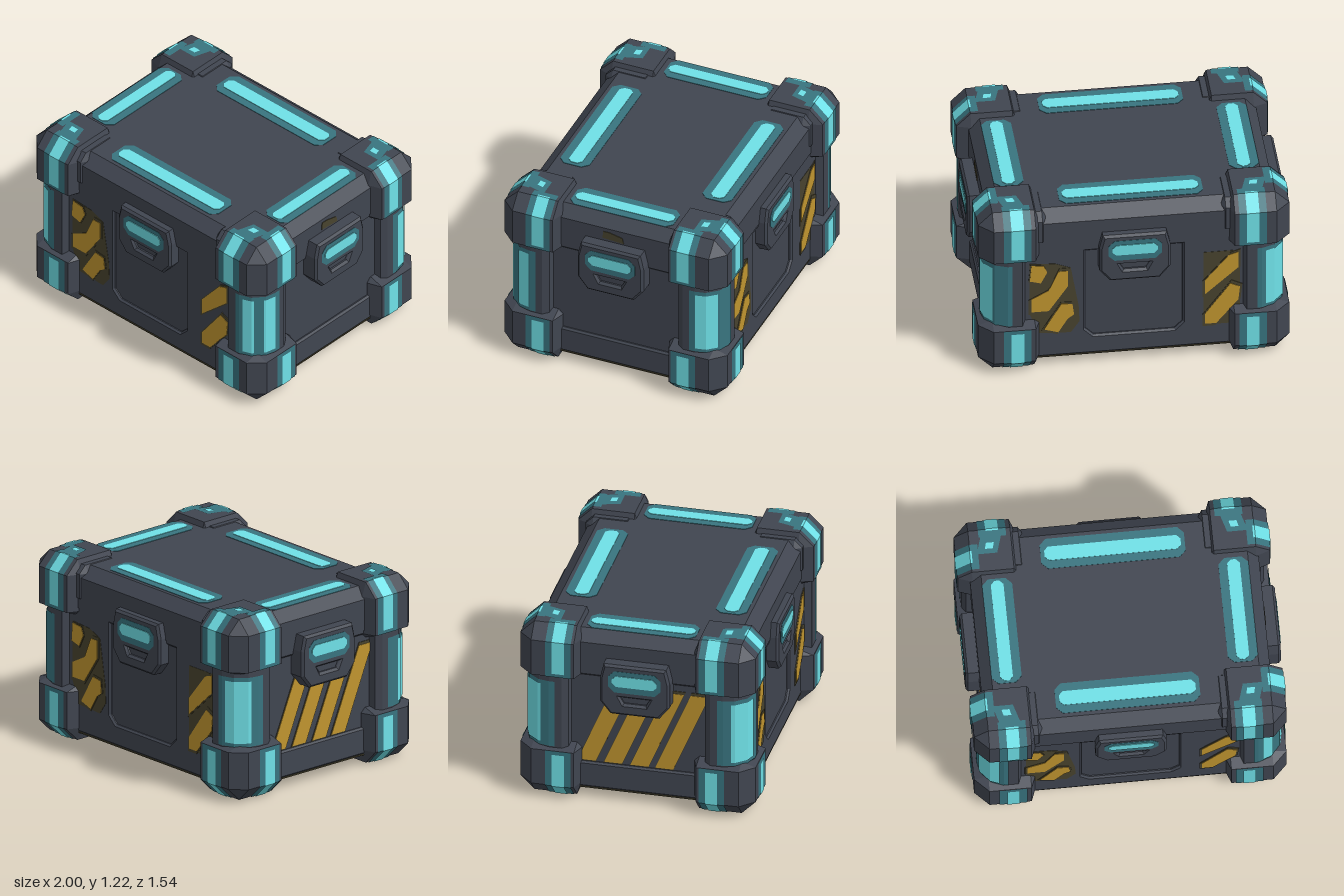
import * as THREE from 'three';
import { ConvexGeometry } from 'three/addons/geometries/ConvexGeometry.js';

const paint = (name, color, side = THREE.FrontSide) => {
  const m = new THREE.MeshStandardMaterial({ color, side });
  m.name = name;
  return m;
};
const MID = 0.6; // mid height of the crate

export function createModel() {
  const slate = paint('slate', 0x404550);
  const glow = paint('bright cyan', 0x76eef5, THREE.DoubleSide);
  const teal = paint('dark teal', 0x38747f, THREE.DoubleSide);
  const amber = paint('amber', 0xc0952f);
  const olive = paint('olive', 0x48432e);
  const crate = new THREE.Group();
  crate.name = 'crate';

  const add = (parent, name, geometry, material, x = 0, y = 0, z = 0) => {
    const mesh = new THREE.Mesh(geometry, material);
    mesh.name = name;
    mesh.position.set(x, y, z);
    parent.add(mesh);
    return mesh;
  };

  // Box with cut edges; low and high give the cut on each axis end
  const chamfered = (min, max, low, high, sign = [1, 1, 1]) => {
    const pts = [];
    for (let face = 0; face < 3; face++)
      for (let k = 0; k < 8; k++) {
        const p = [0, 1, 2].map((a) => {
          const top = (k >> a) & 1;
          const inset = a === face ? 0 : top ? -high[a] : low[a];
          return sign[a] * ((top ? max[a] : min[a]) + inset);
        });
        pts.push(new THREE.Vector3(...p));
      }
    return new ConvexGeometry(pts);
  };

  // Flat band along a path, widened in one axis direction
  const ribbon = (path, axis, width, sign) => {
    const pos = [], index = [];
    path.forEach((p, i) => {
      for (const s of [-0.5, 0.5])
        pos.push(...p.map((v, a) => sign[a] * (v + (a === axis ? s * width : 0))));
      if (i) index.push(2 * i - 2, 2 * i - 1, 2 * i, 2 * i - 1, 2 * i + 1, 2 * i);
    });
    const g = new THREE.BufferGeometry();
    g.setAttribute('position', new THREE.Float32BufferAttribute(pos, 3));
    g.setIndex(index);
    const flat = g.toNonIndexed();
    flat.computeVertexNormals();
    return flat;
  };

  const outline = (pts) => new THREE.Shape(pts.map(([x, y]) => new THREE.Vector2(x, y)));
  const plate = (pts, depth, bevel = 0, hole = null) => {
    const shape = outline(pts);
    if (hole) shape.holes.push(outline(hole));
    return new THREE.ExtrudeGeometry(shape, {
      depth, bevelEnabled: bevel > 0, bevelSize: bevel, bevelThickness: bevel, bevelSegments: 1,
    });
  };
  const rect = (x0, y0, x1, y1) => [[x0, y0], [x1, y0], [x1, y1], [x0, y1]];
  // Rectangle with cut corners, centred
  const pad = (w, h, c, depth) => {
    const x = w / 2, y = h / 2;
    return plate([[-x + c, -y], [x - c, -y], [x, -y + c], [x, y - c],
      [x - c, y], [-x + c, y], [-x, y - c], [-x, -y + c]], depth);
  };
  // Outline grown about its centre
  const grown = (pts, k) => {
    const c = [0, 1].map((a) => pts.reduce((sum, p) => sum + p[a], 0) / pts.length);
    return pts.map((p) => p.map((v, a) => c[a] + (v - c[a]) * k));
  };

  // Body and lid
  add(crate, 'body', chamfered([-0.885, 0.06, -0.665], [0.885, 1.1, 0.665],
    [0.02, 0.02, 0.02], [0.04, 0.03, 0.04]), slate);
  add(crate, 'lid', chamfered([-0.91, 0.86, -0.69], [0.91, 1.165, 0.69],
    [0.07, 0.03, 0.08], [0.07, 0.07, 0.08]), slate);
  add(crate, 'undersideRim', new THREE.BoxGeometry(1.8, 0.008, 1.36), olive, 0, 0.06, 0);
  add(crate, 'underside', new THREE.BoxGeometry(1.74, 0.008, 1.3), amber, 0, 0.057, 0);

  // Light strips on the lid
  for (const s of [-1, 1]) {
    const lights = [['lidLongLight', 0.91, 0.2, 0.86, 0.092, 0, 0.485 * s, 0],
      ['lidShortLight', 0.7, 0.19, 0.67, 0.08, 0.745 * s, 0, Math.PI / 2]];
    for (const [name, w, h, w2, h2, x, z, turn] of lights) {
      const strip = new THREE.Group();
      strip.name = name;
      strip.position.set(x, 1.162, z);
      strip.rotation.set(-Math.PI / 2, 0, turn);
      add(strip, name + 'Edge', pad(w, h, 0.04, 0.006), teal);
      add(strip, name + 'Core', pad(w2, h2, 0.025, 0.009), glow);
      crate.add(strip);
    }
  }

  // Corner blocks with bands that wrap over the chamfer, and onto the cap at the top
  const band = (outer, tip, e, cap) => [[0.265 + tip * 0.6, outer + e], [0.51 + 0.41 * e, outer + e],
    [0.6 + e, outer - 0.09 + 0.41 * e], [0.6 + e, outer - 0.14 + tip]].slice(0, cap ? 4 : 3);
  const bands = [['cornerLightEdge', teal, 0.004, 0.175, 0.165, 0], ['cornerLightCore', glow, 0.008, 0.08, 0.08, 0.04]];
  for (const sx of [-1, 1])
    for (const sz of [-1, 1]) {
      for (const sy of [-1, 1]) {
        const sign = [sx, sy, sz];
        const corner = new THREE.Group();
        corner.name = 'corner';
        corner.position.y = MID;
        crate.add(corner);
        add(corner, 'cornerBlock', chamfered([0.595, 0.235, 0.365], [0.985, 0.6, 0.76],
          [0.035, 0.03, 0.03], [0.09, 0.09, 0.09], sign), slate);
        for (const [name, mat, e, wf, ws, tip] of bands) {
          add(corner, name, ribbon(band(0.76, tip, e, sy > 0).map(([y, z]) => [0.745, y, z]), 0, wf, sign), mat);
          add(corner, name, ribbon(band(0.985, tip, e, sy > 0).map(([y, x]) => [x, y, 0.495]), 2, ws, sign), mat);
        }
        if (sy > 0) {
          add(corner, 'cornerCollar', chamfered([0.55, 0.33, 0.4], [0.9, 0.57, 0.7],
            [0.03, 0.03, 0.03], [0.05, 0.05, 0.05], sign), slate);
          add(corner, 'capPatch', ribbon([[0.755, 0.604, 0.625], [0.79, 0.604, 0.51]], 0, 0.13, sign), teal);
          add(corner, 'capDot', ribbon([[0.765, 0.608, 0.58], [0.775, 0.608, 0.54]], 0, 0.05, sign), glow);
        }
      }

      // Upright post with a lit rounded corner
      const sign = [sx, 1, sz];
      const section = [[0.68, 0.4], [0.93, 0.44], [0.955, 0.48], [0.955, 0.56], [0.94, 0.63],
        [0.88, 0.7], [0.8, 0.73], [0.71, 0.73], [0.68, 0.66]];
      add(crate, 'post', new ConvexGeometry(section.flatMap(([x, z]) =>
        [0.25, 0.95].map((y) => new THREE.Vector3(sx * x, y, sz * z)))), slate);
      const curve = (pts, e) => pts.map(([x, z]) => [x + e * 0.8, 0.585, z + e * 0.8]);
      add(crate, 'postLightEdge', ribbon(curve([[0.955, 0.52], [0.955, 0.56], [0.94, 0.63],
        [0.88, 0.7], [0.8, 0.73], [0.77, 0.73]], 0.005), 1, 0.46, sign), teal);
      const sideRun = [[0.955, 0.56], [0.94, 0.63], [0.931, 0.64]];
      const frontRun = [[0.89, 0.688], [0.88, 0.7], [0.822, 0.722]];
      const wideRun = [[0.945, 0.608], [0.94, 0.63], [0.88, 0.7], [0.822, 0.722]];
      const cornerRun = [[0.955, 0.56], [0.94, 0.63], [0.89, 0.688]];
      const runs = sx < 0 ? [wideRun] : sz < 0 ? [cornerRun] : [sideRun, frontRun];
      for (const run of runs)
        add(crate, 'postLightCore', ribbon(curve(run, 0.01), 1, 0.41, sign), glow);
    }

  // Painted hazard stripes of the long sides
  const stripes = [
    [[-0.66, 0.66], [-0.59, 0.64], [-0.55, 0.72], [-0.57, 0.77], [-0.65, 0.78]],
    [[-0.65, 0.42], [-0.54, 0.42], [-0.42, 0.6], [-0.42, 0.72], [-0.48, 0.72], [-0.54, 0.58], [-0.65, 0.52]],
    [[-0.57, 0.28], [-0.48, 0.25], [-0.42, 0.35], [-0.38, 0.38], [-0.39, 0.46], [-0.46, 0.47]],
    [[0.45, 0.46], [0.66, 0.65], [0.66, 0.77], [0.6, 0.75], [0.45, 0.57]],
    [[0.45, 0.23], [0.52, 0.23], [0.66, 0.4], [0.67, 0.5], [0.61, 0.53], [0.45, 0.31]],
  ];

  // Side faces: raised frame, handle and stripes, built facing +z and turned
  const sides = [['front', 0, 0.69, 0.747], ['back', Math.PI, 0.69, 0.747],
    ['leftSide', Math.PI / 2, 0.91, 0.998], ['rightSide', -Math.PI / 2, 0.91, 0.998]];
  for (const [name, turn, skin, reach] of sides) {
    const side = new THREE.Group();
    side.name = name;
    side.rotation.y = turn;
    crate.add(side);
    const long = skin < 0.8;
    const half = long ? 0.78 : 0.56, hx = long ? 0.32 : 0.47, y0 = long ? 0.19 : 0.23;
    const hole = [[-hx + 0.06, y0], [hx - 0.06, y0], [hx, y0 + 0.06], [hx, 0.87], [-hx, 0.87], [-hx, y0 + 0.06]];
    add(side, 'frame', plate(rect(-half, 0.075, half, 0.89), 0.02, 0.012, hole), slate, 0, 0, skin - 0.037);

    // Handle with a grip opening and a lit pad
    add(side, 'handlePlate', plate([[-0.15, 0.665], [0.15, 0.665], [0.21, 0.74], [0.21, 0.9], [0.19, 0.985],
      [-0.19, 0.985], [-0.21, 0.9], [-0.21, 0.74]], 0.1, 0.015,
    [[-0.08, 0.715], [0.08, 0.715], [0.115, 0.785], [-0.115, 0.785]]), slate, 0, 0, reach - 0.119);
    add(side, 'handleLatch', plate([[-0.07, 0.7], [0.07, 0.7], [0.1, 0.8], [-0.1, 0.8]], 0.08),
      slate, 0, 0, reach - 0.11);
    add(side, 'handleLightEdge', pad(0.34, 0.15, 0.04, 0.007), teal, 0, 0.885, reach - 0.009);
    add(side, 'handleLightCore', pad(0.29, 0.075, 0.025, 0.009), glow, 0, 0.89, reach - 0.007);

    if (long) {
      add(side, 'stripePanel', plate([[-0.66, 0.4], [-0.6, 0.25], [-0.4, 0.24], [-0.345, 0.32],
        [-0.35, 0.44], [-0.4, 0.74], [-0.5, 0.78], [-0.66, 0.79]], 0.004), olive, 0, 0, skin - 0.007);
      if (name === 'back')
        add(side, 'stripePanel', plate(rect(0.44, 0.22, 0.67, 0.78), 0.004), olive, 0, 0, skin - 0.007);
      for (const s of stripes) {
        add(side, 'stripeEdge', plate(grown(s, 1.14), 0.007), olive, 0, 0, skin - 0.007);
        add(side, 'hazardStripe', plate(s, 0.009), amber, 0, 0, skin - 0.006);
      }
    } else if (name === 'rightSide') {
      for (const b of [-0.39, -0.22, -0.05, 0.11]) {
        const s = [[b, 0.25], [b + 0.115, 0.25], [b + 0.345, 0.79], [b + 0.23, 0.79]];
        add(side, 'stripeEdge', plate(grown(s, 1.07), 0.004), olive, 0, 0, 0.885);
        add(side, 'hazardStripe', plate(s, 0.007), amber, 0, 0, 0.885);
      }
    } else {
      add(side, 'lidSmudge', plate([[-0.085, 1.02], [0.06, 1.01], [0.05, 1.05], [-0.04, 1.07], [-0.08, 1.07]], 0.004),
        olive, 0, 0, skin);
    }
  }
  return crate;
}
